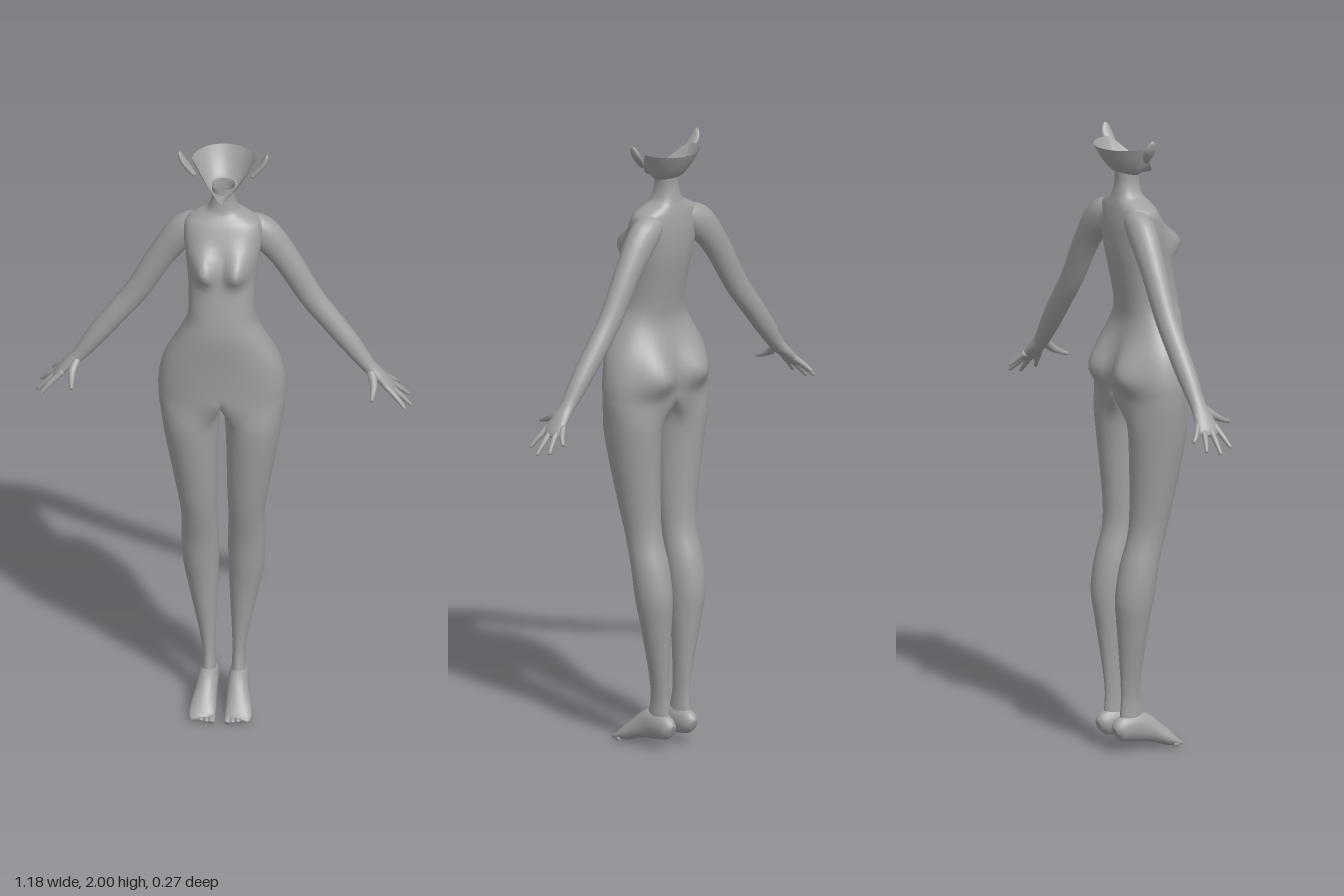
import * as THREE from 'three';

const skin = new THREE.MeshStandardMaterial({ color: 0xa0a0a0, side: THREE.DoubleSide });
skin.name = 'grey skin';
const { clamp, lerp, smoothstep } = THREE.MathUtils;

// Catmull-Rom through rows of numbers, with steps rows per span.
function refine(rows, steps) {
  const out = [];
  for (let i = 0; i < rows.length - 1; i++) {
    const [a, b, c, d] = [-1, 0, 1, 2].map(k => rows[clamp(i + k, 0, rows.length - 1)]);
    for (let s = 0; s < steps; s++) {
      const t = s / steps;
      out.push(b.map((p, k) => p + 0.5 * t * (c[k] - a[k] +
        t * (2 * a[k] - 5 * p + 4 * c[k] - d[k] + t * (3 * (p - c[k]) + d[k] - a[k])))));
    }
  }
  out.push(rows[rows.length - 1].slice());
  return out;
}

// Skin closed rings of points; keep(i, j) may leave faces out.
function loft(rings, keep = () => true) {
  const n = rings[0].length, index = [];
  for (let i = 0; i < rings.length - 1; i++) {
    for (let j = 0; j < n; j++) {
      if (!keep(i, j)) continue;
      const a = i * n + j, b = i * n + (j + 1) % n;
      index.push(a, a + n, b, b, a + n, b + n);
    }
  }
  const g = new THREE.BufferGeometry();
  g.setAttribute('position', new THREE.Float32BufferAttribute(rings.flat(2), 3));
  g.setIndex(index);
  g.computeVertexNormals();
  return g;
}

// Tapered limb through rows [x, y, z, radius along side, radius across it].
function limb(rows, side = [0, 0, 1], sides = 16, steps = 4) {
  const path = refine(rows, steps);
  const rings = path.map(([x, y, z, ra, rb], i) => {
    const p = path[Math.max(i - 1, 0)], q = path[Math.min(i + 1, path.length - 1)];
    const dir = new THREE.Vector3(q[0] - p[0], q[1] - p[1], q[2] - p[2]).normalize();
    const u = new THREE.Vector3(...side);
    u.addScaledVector(dir, -u.dot(dir)).normalize();
    const v = u.clone().cross(dir);
    return Array.from({ length: sides }, (_, j) => {
      const a = j / sides * Math.PI * 2, c = Math.cos(a) * ra, s = Math.sin(a) * rb;
      return [x + u.x * c + v.x * s, y + u.y * c + v.y * s, z + u.z * c + v.z * s];
    });
  });
  // close both ends
  for (const [row, add] of [[path[0], 'unshift'], [path[path.length - 1], 'push']])
    rings[add](Array.from({ length: sides }, () => row.slice(0, 3)));
  return loft(rings);
}

// Half of the torso with its leg: [y, inner x, outer x, front z, back z].
const bodyRows = [
  [1.88, 0, .036, .006, -.068], [1.84, 0, .036, .008, -.068], [1.80, 0, .05, .015, -.075],
  [1.78, 0, .085, .028, -.08], [1.755, 0, .118, .045, -.085], [1.70, 0, .122, .07, -.09],
  [1.62, 0, .112, .095, -.085], [1.54, 0, .105, .116, -.07], [1.45, 0, .107, .132, -.052],
  [1.39, 0, .132, .135, -.048], [1.30, 0, .18, .127, -.065], [1.22, 0, .199, .122, -.078],
  [1.165, 0, .2, .12, -.08], [1.12, .004, .197, .118, -.08], [1.0, .012, .18, .11, -.07],
  [.8, .015, .145, .077, -.06], [.7, .018, .131, .055, -.066], [.6, .014, .132, .03, -.095],
  [.5, .015, .128, .015, -.11], [.4, .018, .11, 0, -.1], [.2, .027, .07, -.015, -.08],
  [.1, .024, .069, 0, -.084], [.06, .026, .068, 0, -.08],
];
const CROTCH = 1.165;

function bump(x, y, cx, cy, sx, up, down) {
  const dy = (y - cy) / (y > cy ? up : down), dx = (x - cx) / sx;
  return Math.exp(-dx * dx - dy * dy);
}

function halfBody() {
  const N = 30, M = 10, a0 = 0.9, p = 0.85;
  const pow = v => Math.sign(v) * Math.abs(v) ** p;
  const rows = refine(bodyRows, 4);
  const rings = rows.map(([y, xin, xout, zf, zb]) => {
    const w = 1 - smoothstep(y, 1.05, CROTCH);   // 0 in the torso, 1 in the leg
    const zc = (zf + zb) / 2, d = (zf - zb) / 2, xc = (xin + xout) / 2, hx = (xout - xin) / 2;
    return Array.from({ length: N + M }, (_, j) => {
      const outer = j <= N, u = outer ? j / N : (j - N) / M;
      const a = outer ? a0 + u * 2 * (Math.PI - a0) : -a0 + u * 2 * a0;
      const tx = outer ? xout * pow(Math.max(Math.sin(Math.PI * u), 0)) : 0;
      const tz = outer ? zc + d * pow(Math.cos(Math.PI * u)) : lerp(zb, zf, u);
      const x = j % N === 0 && w === 0 ? 0 : lerp(tx, xc - hx * Math.cos(a), w);
      let z = lerp(tz, zc + d * Math.sin(a), w);
      const f = clamp((z - zc) / d, -1, 1);
      if (f > 0) z += f * .058 * bump(x, y, .056, 1.635, .04, .05, .042);   // breast
      else z += f * .05 * bump(x, y, .085, 1.235, .07, .085, .058);         // buttock
      return [x, y, z];
    });
  });
  const g = loft(rings, (i, j) => j < N || rows[i][0] <= CROTCH + 1e-6);
  // level the normals on the centre line so both halves join smoothly
  const pos = g.attributes.position, nor = g.attributes.normal;
  for (let i = 0; i < pos.count; i++) {
    if (pos.getX(i) > 1e-5 || pos.getY(i) < CROTCH) continue;
    const l = Math.hypot(nor.getY(i), nor.getZ(i)) || 1;
    nor.setXYZ(i, 0, nor.getY(i) / l, nor.getZ(i) / l);
  }
  return g;
}

// Open jaw shell flaring from the neck to a rim that dips to the chin.
function jawShell() {
  const rings = [];
  for (let i = 10; i >= 0; i--) {
    const s = i / 10;
    rings.push(Array.from({ length: 48 }, (_, j) => {
      const a = j / 48 * Math.PI * 2, sn = Math.sin(a), c = Math.cos(a);
      const rz = c > 0 ? -.037 + .097 * (1 - Math.abs(sn) ** 1.3) : -.037 + .1 * c;
      const k = clamp((rz + .037) / .097, 0, 1);
      const ry = 1.965 - .105 * k ** 1.2, ny = 1.868 - .008 * c;
      return [lerp(.036, .1, s) * sn, lerp(ny, ry, s ** 1.5), lerp(-.031 + .037 * c, rz, s)];
    }));
  }
  return loft(rings);
}

export function createModel() {
  const model = new THREE.Group();
  model.name = 'figure';
  const add = (name, g) => {
    const m = new THREE.Mesh(g, skin);
    m.name = name;
    model.add(m);
  };
  const pair = (name, g) => {
    add('left ' + name, g);
    const r = g.clone().scale(-1, 1, 1), idx = r.index.array;
    for (let i = 0; i < idx.length; i += 3) [idx[i], idx[i + 1]] = [idx[i + 1], idx[i]];
    add('right ' + name, r);
  };

  pair('torso and leg', halfBody());
  add('jaw', jawShell());

  pair('ear', limb([[.088, 1.92, -.012, .008, .006], [.107, 1.94, -.02, .017, .009],
    [.127, 1.967, -.024, .02, .009], [.137, 1.99, -.022, .012, .006], [.139, 1.998, -.02, .004, .002]]));

  // Arm down to the knuckles
  pair('arm', limb([[.05, 1.74, -.04, .035, .03], [.115, 1.708, -.05, .045, .052],
    [.19, 1.612, -.057, .04, .044], [.272, 1.47, -.06, .034, .039], [.335, 1.385, -.06, .033, .036],
    [.402, 1.297, -.058, .031, .032], [.455, 1.225, -.056, .026, .023], [.49, 1.19, -.057, .032, .018],
    [.523, 1.154, -.059, .036, .013], [.536, 1.14, -.06, .024, .005]], [0, 0, 1], 24));

  // Fingers and thumb
  [[-.086, .543, 1.128, -.125], [-.069, .578, 1.102, -.099], [-.05, .588, 1.09, -.052],
    [-.032, .573, 1.102, -.006]].forEach(([z, x, y, tz], i) => {
    pair('finger ' + (i + 1), limb([[.505, 1.172, z, .01, .01],
      [(.515 + x) / 2, (1.168 + y) / 2, (z + tz) / 2, .0085, .009], [x, y, tz, .005, .005]], [0, 0, 1], 10));
  });
  pair('thumb', limb([[.46, 1.215, -.045, .014, .014], [.474, 1.187, -.012, .013, .013],
    [.474, 1.168, .022, .009, .009], [.472, 1.157, .05, .005, .006]], [1, 0, 0], 10));

  // Foot from heel to ball
  pair('foot', limb([[.047, .066, -.104, .014, .02], [.047, .072, -.088, .027, .036],
    [.047, .078, -.05, .032, .046], [.048, .073, -.005, .033, .047], [.052, .052, .04, .037, .034],
    [.056, .03, .077, .042, .025], [.057, .016, .105, .041, .014], [.055, .012, .118, .033, .008]],
  [1, 0, 0], 20));
  for (let i = 0; i < 5; i++) {
    const x = .025 + i * .0165, r = i ? .008 : .011, tip = .133 - i * i * .0016;
    pair('toe ' + (i + 1), limb([[x, .014, .085, r, r], [x, .012, tip - .008, r, r],
      [x, .01, tip, r * .5, r * .5]], [1, 0, 0], 10));
  }
  return model;
}
